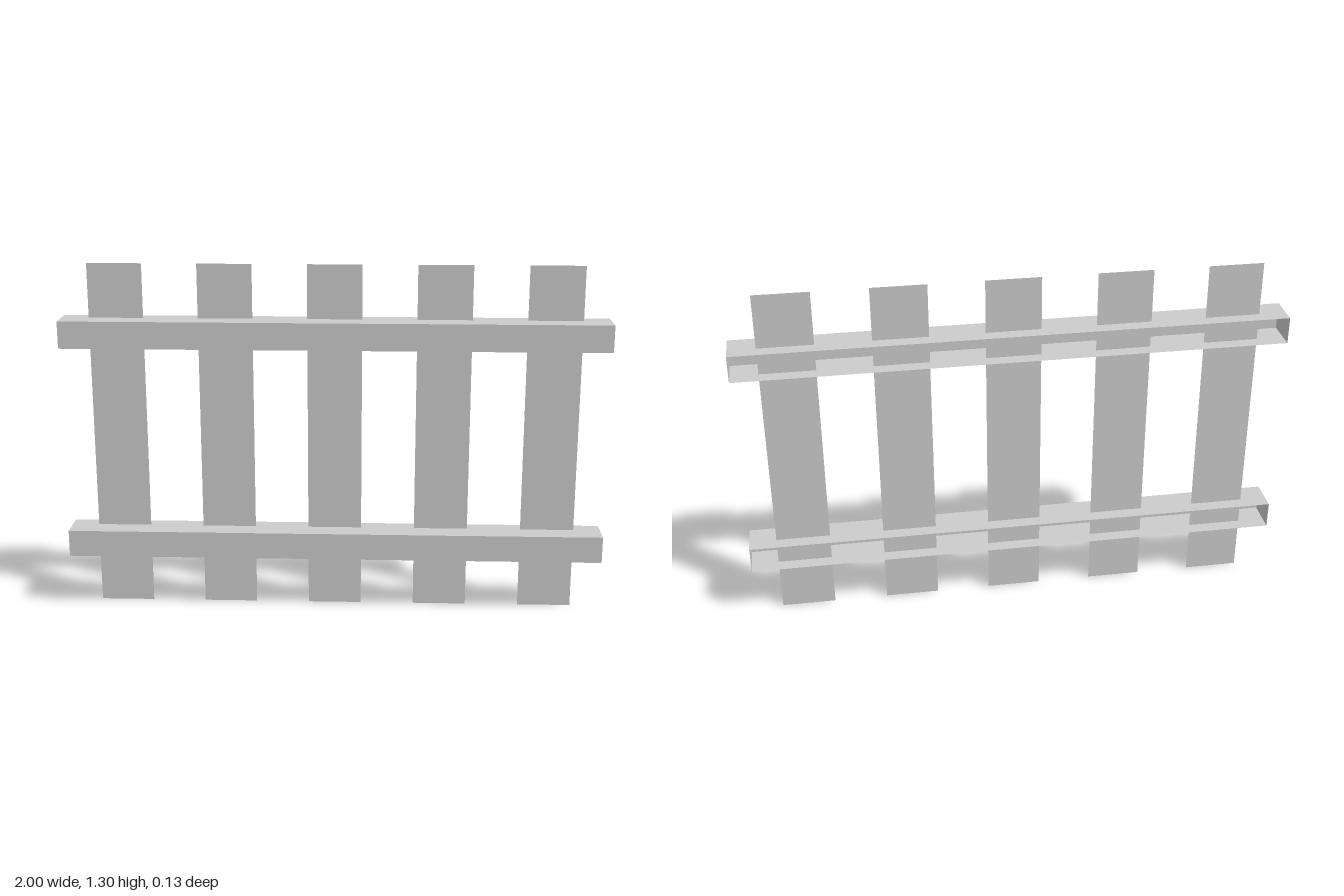
import * as THREE from 'three';

const material = new THREE.MeshStandardMaterial({
  color: 0xcccccc, flatShading: true, side: THREE.DoubleSide,
});

const HEIGHT = 1.305;
const RAIL = { length: 2, height: 0.1, depth: 0.13 };

// Rail: a box shell without its back wall (the last six indices)
function railGeometry() {
  const geometry = new THREE.BoxGeometry(RAIL.length, RAIL.height, RAIL.depth);
  geometry.setIndex(Array.from(geometry.index.array).slice(0, 30));
  geometry.clearGroups();
  return geometry;
}

export function createModel() {
  const fence = new THREE.Group();
  fence.name = 'fence';

  const add = (name, geometry, x, y, z) => {
    const mesh = new THREE.Mesh(geometry, material);
    mesh.name = name;
    mesh.position.set(x, y, z);
    fence.add(mesh);
  };

  // Two horizontal rails, open at the back
  const rail = railGeometry();
  add('lowerRail', rail, 0, 0.255, 0);
  add('upperRail', rail, 0, 1.055, 0);

  // Five thin upright slats passing through the rails
  const slat = new THREE.PlaneGeometry(0.2, HEIGHT);
  for (let i = 0; i < 5; i++) {
    add(`slat${i + 1}`, slat, -0.8 + i * 0.4, HEIGHT / 2, -0.015);
  }

  return fence;
}
